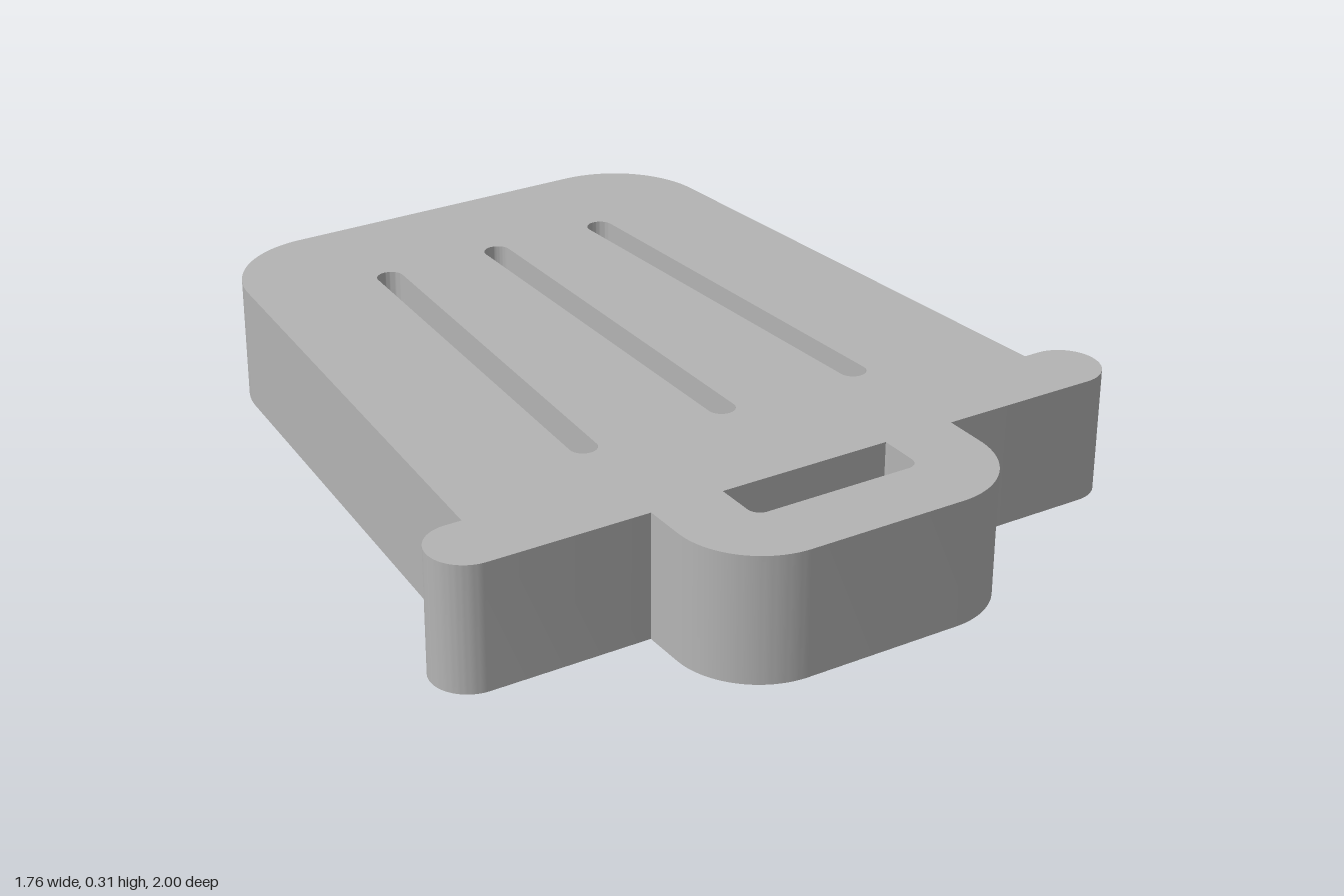
import * as THREE from 'three';
import { toCreasedNormals } from 'three/addons/utils/BufferGeometryUtils.js';

const HEIGHT = 0.31;
const PI = Math.PI;
const TAPER = 0.081; // lean of the body sides, in radians

// Rounded slot between two points (x, z)
function slot(x1, z1, x2, z2, r) {
  const a = Math.atan2(z2 - z1, x2 - x1);
  const path = new THREE.Path();
  path.absarc(x2, z2, r, a - PI / 2, a + PI / 2);
  path.absarc(x1, z1, r, a + PI / 2, a + PI * 1.5);
  path.closePath();
  return path;
}

// Outline of body, rim bar and handle, drawn in x and z
function outline() {
  const s = new THREE.Shape();
  s.absarc(0.395, -0.75, 0.25, -PI / 2, -TAPER);
  s.lineTo(0.75, 0.515);
  s.absarc(0.79, 0.605, 0.09, -PI / 2, PI / 2);
  s.lineTo(0.395, 0.695);
  s.absarc(0.195, 0.8, 0.2, 0, PI / 2);
  s.absarc(-0.195, 0.8, 0.2, PI / 2, PI);
  s.lineTo(-0.395, 0.695);
  s.absarc(-0.79, 0.605, 0.09, PI / 2, PI * 1.5);
  s.lineTo(-0.75, 0.515);
  s.absarc(-0.395, -0.75, 0.25, PI + TAPER, PI * 1.5);
  s.closePath();
  return s;
}

// Handle opening: square at the rim, rounded at the grip
function handleOpening() {
  const p = new THREE.Path();
  p.moveTo(-0.215, 0.695);
  p.lineTo(0.215, 0.695);
  p.absarc(0.185, 0.79, 0.03, 0, PI / 2);
  p.absarc(-0.185, 0.79, 0.03, PI / 2, PI);
  p.closePath();
  return p;
}

export function createModel() {
  const group = new THREE.Group();
  group.name = 'binIcon';

  const grey = new THREE.MeshStandardMaterial({ color: 0xb4b4b4 });
  grey.name = 'grey';

  const shape = outline();
  shape.holes.push(handleOpening());
  for (const side of [-1, 0, 1]) {
    shape.holes.push(slot(side * 0.304, -0.67, side * 0.363, 0.362, 0.033));
  }

  // Extrude, then lay flat with its underside on the ground
  const solid = new THREE.ExtrudeGeometry(shape, {
    depth: HEIGHT, bevelEnabled: false, curveSegments: 20,
  });
  solid.rotateX(PI / 2);
  solid.translate(0, HEIGHT, 0);

  const body = new THREE.Mesh(toCreasedNormals(solid, 0.5), grey);
  body.name = 'slottedBinBody';
  group.add(body);
  return group;
}
